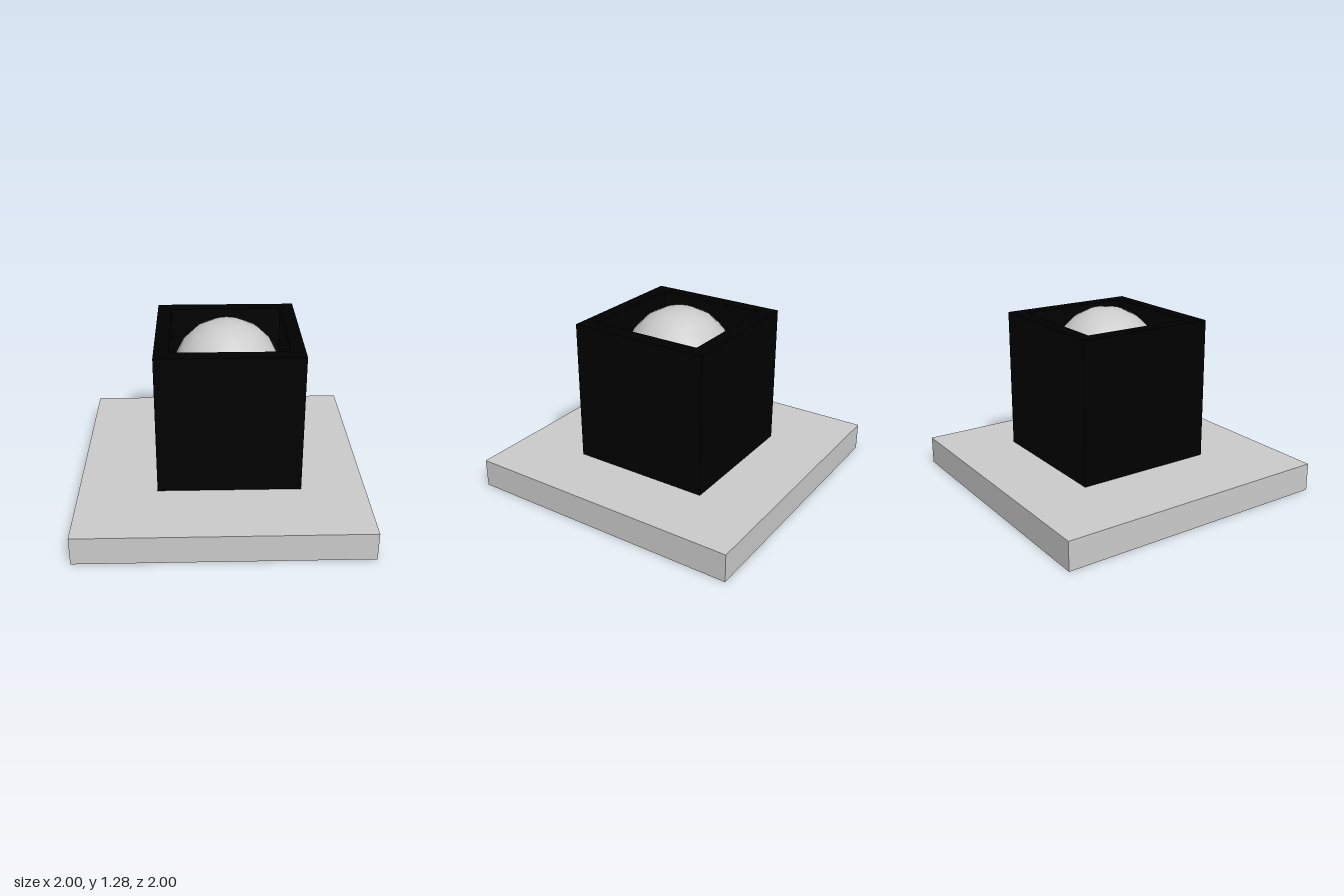
import * as THREE from 'three';

function square(PathType, size) {
  const h = size / 2;
  return new PathType([
    new THREE.Vector2(-h, -h), new THREE.Vector2(h, -h),
    new THREE.Vector2(h, h), new THREE.Vector2(-h, h),
  ]);
}

export function createModel() {
  const model = new THREE.Group();
  model.name = 'ballInOpenBox';
  const grey = new THREE.MeshStandardMaterial({ color: 0xcccccc });
  const black = new THREE.MeshStandardMaterial({ color: 0x000000 });

  function add(name, geometry, material, x, y, z, parent = model) {
    const mesh = new THREE.Mesh(geometry, material);
    mesh.name = name;
    mesh.position.set(x, y, z);
    parent.add(mesh);
    return mesh;
  }

  // Square base slab
  add('base', new THREE.BoxGeometry(2, 0.2, 2), grey, 0, 0.1, 0);

  // Open-topped box, hovering just above the base
  const size = 1, wall = 0.1;
  const box = new THREE.Group();
  box.name = 'openBox';
  box.position.set(0.05, 0.21, -0.03);
  model.add(box);

  const ring = square(THREE.Shape, size);
  ring.holes.push(square(THREE.Path, size - 2 * wall));
  const walls = new THREE.ExtrudeGeometry(ring, { depth: size, bevelEnabled: false });
  walls.rotateX(-Math.PI / 2);
  add('boxWalls', walls, black, 0, 0, 0, box);
  const inner = size - 2 * wall;
  add('boxFloor', new THREE.BoxGeometry(inner, wall, inner), black, 0, wall / 2, 0, box);

  // Smooth ball rising out of the box
  const ball = new THREE.SphereGeometry(0.387, 19, 10, Math.PI / 2);
  ball.rotateY(Math.PI);
  add('ball', ball, grey, 0.045, 0.89, -0.027);

  return model;
}
